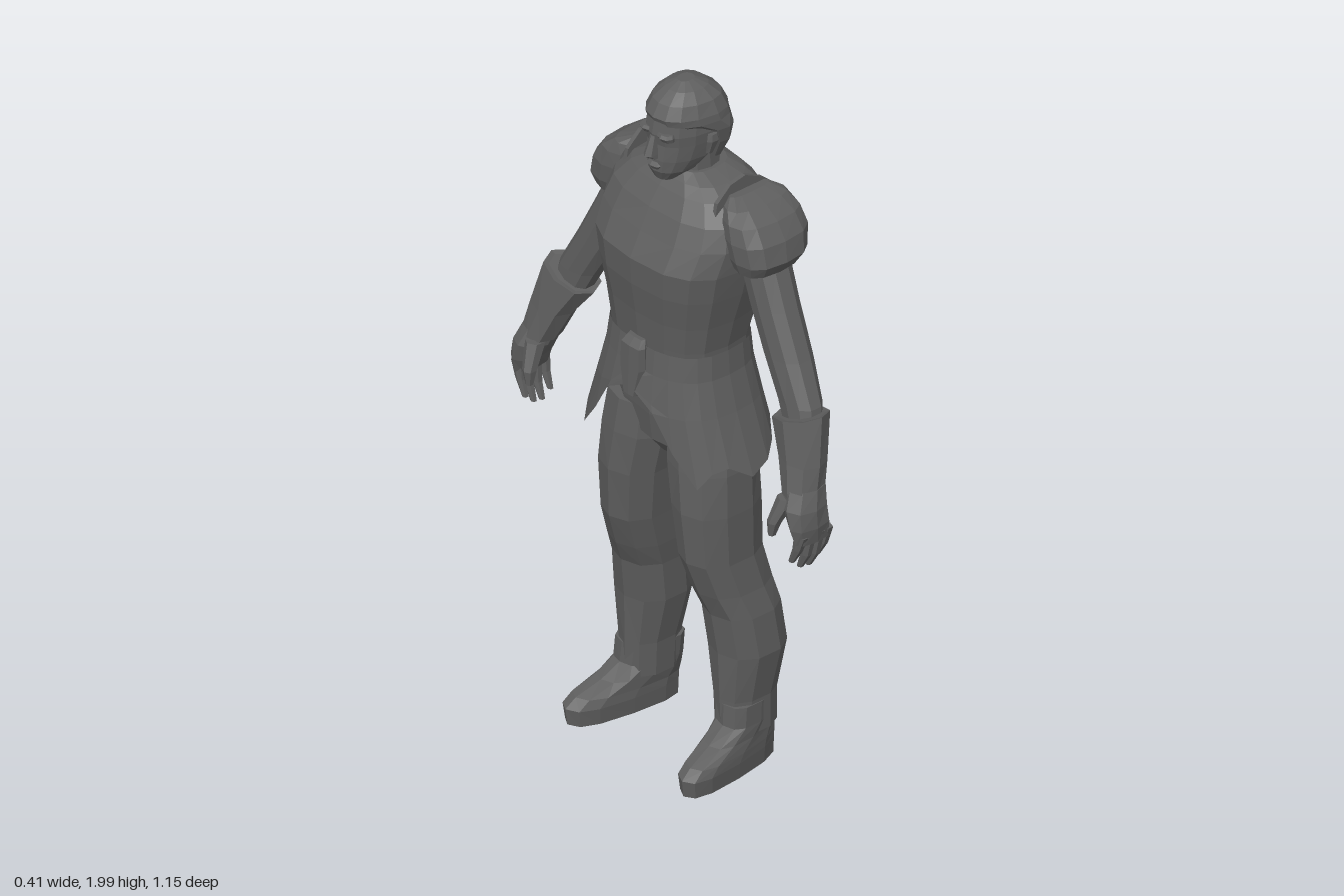
import * as THREE from 'three';

const grey = new THREE.MeshStandardMaterial({ color: 0x5e5e5e, flatShading: true, side: THREE.DoubleSide });
grey.name = 'dark grey';

// Lofts horizontal rings [y, x0, x1, z0, z1], listed from bottom to top.
// side = -1 mirrors across z; warp moves each point; open leaves out the caps.
function loft(name, rings, { n = 12, p = 2.3, side = 1, warp = null, open = false } = {}) {
  const pos = [], idx = [];
  const put = (v, j, i) => {
    if (warp) warp(v, j, i);
    pos.push(v.x, v.y, v.z * side);
  };
  const bend = (t) => Math.sign(t) * Math.pow(Math.abs(t), 2 / p);
  rings.forEach(([y, x0, x1, z0, z1], j) => {
    for (let i = 0; i < n; i++) {
      const a = (i / n) * Math.PI * 2;
      put(new THREE.Vector3((x0 + x1) / 2 + (x1 - x0) / 2 * bend(Math.cos(a)), y,
        (z0 + z1) / 2 + (z1 - z0) / 2 * bend(Math.sin(a))), j, i);
    }
  });
  const face = (a, b, c) => (side > 0 ? idx.push(a, b, c) : idx.push(a, c, b));
  const last = rings.length - 1;
  for (let j = 0; j < last; j++) {
    for (let i = 0; i < n; i++) {
      const k = (i + 1) % n, a = j * n + i, c = j * n + k;
      face(a, a + n, c);
      face(a + n, c + n, c);
    }
  }
  if (!open) {
    [0, last].forEach((j) => {
      const [y, x0, x1, z0, z1] = rings[j], mid = pos.length / 3;
      put(new THREE.Vector3((x0 + x1) / 2, y, (z0 + z1) / 2), j, 0);
      for (let i = 0; i < n; i++) {
        const a = j * n + i, b = j * n + (i + 1) % n;
        if (j === 0) face(mid, a, b); else face(mid, b, a);
      }
    });
  }
  const g = new THREE.BufferGeometry();
  g.setAttribute('position', new THREE.Float32BufferAttribute(pos, 3));
  g.setIndex(idx);
  const flat = g.toNonIndexed();
  flat.computeVertexNormals();
  return part(name, flat);
}

function part(name, geometry) {
  const m = new THREE.Mesh(geometry, grey);
  m.name = name;
  return m;
}

// Rings centred on z = 0: [y, x0, x1, halfWidth]
const centred = (rows) => rows.map(([y, x0, x1, w]) => [y, x0, x1, -w, w]);

function plate(name, points, depth) {
  const shape = new THREE.Shape(points.map(([a, b]) => new THREE.Vector2(a, b)));
  return part(name, new THREE.ExtrudeGeometry(shape, { depth, bevelEnabled: false }));
}

function createHead() {
  const head = new THREE.Group();
  head.name = 'head';
  // the face is narrower than the back of the skull
  const egg = (v) => { v.z *= 1 + 1.6 * Math.min(0.06, v.x - 0.02); };
  head.add(loft('neck', centred([[1.66, -0.06, 0.1, 0.1], [1.72, -0.045, 0.095, 0.078], [1.82, -0.04, 0.085, 0.07]])));
  head.add(loft('face', centred([
    [1.735, -0.092, -0.03, 0.035], [1.765, -0.107, 0.03, 0.066], [1.8, -0.108, 0.07, 0.082],
    [1.845, -0.104, 0.09, 0.09], [1.875, -0.11, 0.1, 0.093], [1.93, -0.1, 0.1, 0.088], [1.97, -0.06, 0.06, 0.05],
  ]), { n: 14, warp: egg }));
  head.add(loft('hair', centred([
    [1.775, 0.02, 0.085, 0.066], [1.83, 0.005, 0.105, 0.09], [1.875, -0.02, 0.112, 0.1],
    [1.905, -0.1, 0.112, 0.101], [1.925, -0.108, 0.11, 0.098], [1.96, -0.088, 0.094, 0.082],
    [1.985, -0.052, 0.062, 0.053], [2.0, -0.02, 0.028, 0.02],
  ]), { n: 14, warp: egg }));
  head.add(loft('nose', centred([[1.805, -0.118, -0.09, 0.018], [1.817, -0.136, -0.09, 0.017], [1.87, -0.114, -0.09, 0.01]]), { n: 6 }));
  head.add(loft('lips', centred([[1.772, -0.11, -0.08, 0.02], [1.783, -0.117, -0.08, 0.026], [1.793, -0.11, -0.08, 0.018]]), { n: 8 }));
  for (const side of [1, -1]) {
    head.add(loft('brow', [[1.866, -0.106, -0.07, 0.012, 0.058], [1.878, -0.114, -0.07, 0.01, 0.06], [1.886, -0.108, -0.07, 0.012, 0.055]], { n: 8, side }));
    head.add(loft('ear', [[1.81, 0, 0.02, 0.075, 0.092], [1.85, -0.004, 0.035, 0.08, 0.105], [1.87, 0, 0.03, 0.08, 0.102]], { n: 6, side }));
  }
  return head;
}

function createArm(side) {
  const arm = new THREE.Group();
  arm.name = side > 0 ? 'leftArm' : 'rightArm';
  arm.add(loft('sleeve', [
    [1.14, -0.03, 0.05, 0.4, 0.51], [1.22, -0.025, 0.07, 0.36, 0.49], [1.33, -0.02, 0.09, 0.295, 0.432],
    [1.45, -0.015, 0.1, 0.235, 0.372], [1.55, -0.01, 0.11, 0.19, 0.325], [1.63, 0, 0.1, 0.19, 0.29],
  ], { n: 10, side }));
  // flared glove cuff with a slanted rim
  arm.add(loft('gauntlet', [
    [1.0, -0.095, 0.012, 0.46, 0.56], [1.09, -0.075, 0.035, 0.418, 0.55],
    [1.193, -0.055, 0.07, 0.363, 0.527], [1.19, -0.04, 0.058, 0.375, 0.515],
  ], { n: 8, side, warp: (v, j) => { if (j > 1) v.y += 0.32 * (v.z - 0.445); } }));
  arm.add(loft('hand', [
    [0.885, -0.1, 0.012, 0.525, 0.57], [0.93, -0.112, 0.014, 0.505, 0.576], [0.98, -0.11, 0.012, 0.475, 0.572], [1.03, -0.085, 0.018, 0.46, 0.557],
  ], { n: 8, side }));
  [0.82, 0.795, 0.79, 0.81].forEach((tip, i) => {
    const x = -0.084 + i * 0.028;
    arm.add(loft('finger', [
      [tip, x - 0.012, x + 0.004, 0.51, 0.528], [tip + 0.045, x - 0.014, x + 0.01, 0.525, 0.555], [0.91, x - 0.014, x + 0.014, 0.53, 0.573],
    ], { n: 6, side }));
  });
  arm.add(loft('thumb', [
    [0.89, -0.125, -0.105, 0.462, 0.482], [0.93, -0.13, -0.092, 0.458, 0.495], [1.0, -0.105, -0.05, 0.465, 0.52],
  ], { n: 6, side }));
  return arm;
}

function createShoulder(side) {
  const shoulder = new THREE.Group();
  shoulder.name = side > 0 ? 'leftShoulder' : 'rightShoulder';
  shoulder.add(loft('shoulderPad', [
    [1.55, -0.045, 0.13, 0.21, 0.325], [1.585, -0.058, 0.155, 0.19, 0.345], [1.64, -0.062, 0.17, 0.175, 0.332],
    [1.685, -0.055, 0.165, 0.172, 0.3], [1.715, -0.04, 0.15, 0.172, 0.255], [1.732, -0.01, 0.12, 0.172, 0.205],
  ], { side, p: 2.6 }));
  // upright flange at the neck edge of the pad
  const flange = plate('shoulderFlange', [
    [-0.06, 1.64], [0.16, 1.64], [0.155, 1.7], [0.11, 1.74], [0.05, 1.77], [0, 1.76], [-0.045, 1.72],
  ], 0.012);
  flange.position.z = side > 0 ? 0.168 : -0.18;
  shoulder.add(flange);
  return shoulder;
}

function createLeg(side) {
  const leg = new THREE.Group();
  leg.name = side > 0 ? 'leftLeg' : 'rightLeg';
  leg.add(loft('trouserLeg', [
    [0.12, -0.04, 0.13, 0.125, 0.25], [0.22, -0.042, 0.132, 0.12, 0.25], [0.36, -0.046, 0.155, 0.09, 0.275],
    [0.48, -0.062, 0.142, 0.085, 0.265], [0.55, -0.092, 0.128, 0.075, 0.248], [0.65, -0.125, 0.106, 0.065, 0.237],
    [0.8, -0.136, 0.104, 0.045, 0.24], [0.92, -0.13, 0.102, 0.018, 0.235], [1.02, -0.12, 0.1, 0.015, 0.22],
  ], { n: 10, side }));
  // the toes turn outwards
  leg.add(loft('boot', [
    [0.012, -0.2, 0.13, 0.145, 0.245], [0.06, -0.206, 0.13, 0.14, 0.25], [0.085, -0.175, 0.13, 0.14, 0.25],
    [0.115, -0.1, 0.13, 0.135, 0.248], [0.15, -0.045, 0.13, 0.13, 0.25], [0.21, -0.04, 0.131, 0.125, 0.25],
  ], { side, p: 2.7, warp: (v) => { v.z -= 0.13 * (v.x - 0.04); } }));
  return leg;
}

export function createModel() {
  const model = new THREE.Group();
  model.name = 'armouredFigure';
  model.add(createHead());

  model.add(loft('torso', centred([
    [1.2, -0.15, 0.13, 0.182], [1.28, -0.158, 0.13, 0.185], [1.36, -0.166, 0.152, 0.2], [1.45, -0.18, 0.185, 0.222],
    [1.53, -0.185, 0.2, 0.238], [1.6, -0.15, 0.2, 0.245], [1.66, -0.12, 0.18, 0.23],
    [1.71, -0.085, 0.155, 0.185], [1.735, -0.065, 0.135, 0.14], [1.755, -0.045, 0.105, 0.085],
  ]), { n: 16, p: 2.7 }));
  model.add(loft('pelvis', centred([
    [0.9, -0.07, 0.085, 0.06], [0.95, -0.11, 0.115, 0.18], [1.03, -0.12, 0.13, 0.215], [1.2, -0.13, 0.125, 0.18],
  ])));

  // skirt hem heights from the back round to the front: points at hips and thighs
  const hem = [1.03, 1.03, 1.03, 1.02, 0.98, 0.95, 0.93, 0.97, 0.96, 0.915, 1.0, 1.1, 1.15];
  model.add(loft('skirt', centred([
    [1.03, -0.19, 0.165, 0.245], [1.1, -0.186, 0.155, 0.222], [1.2, -0.172, 0.14, 0.195], [1.27, -0.163, 0.134, 0.188],
  ]), {
    n: 24, p: 2.6, open: true,
    warp: (v, j, i) => {
      const h = hem[Math.min(i, 24 - i)];
      if (j === 0) {
        v.z *= 1 + Math.max(0, 1.03 - h) * 1.5;
        v.y = h;
      } else if (j === 1) v.y = Math.max(v.y, h + 0.02);
    },
  }));
  model.add(loft('frontTab', centred([
    [1.12, -0.192, -0.172, 0.022], [1.2, -0.19, -0.15, 0.042], [1.265, -0.188, -0.15, 0.04], [1.285, -0.17, -0.145, 0.03],
  ]), { n: 8, p: 4 }));

  // raised chevron on the upper back
  const chevron = plate('backChevron', [
    [-0.075, -0.025], [-0.06, -0.03], [0, 0], [0.06, -0.03], [0.075, -0.025], [0.07, -0.003], [0, 0.025], [-0.07, -0.003],
  ], 0.016);
  chevron.geometry.rotateY(Math.PI / 2).rotateZ(0.3);
  chevron.position.set(0.177, 1.645, 0);
  model.add(chevron);

  for (const side of [1, -1]) model.add(createShoulder(side), createArm(side), createLeg(side));
  return model;
}
